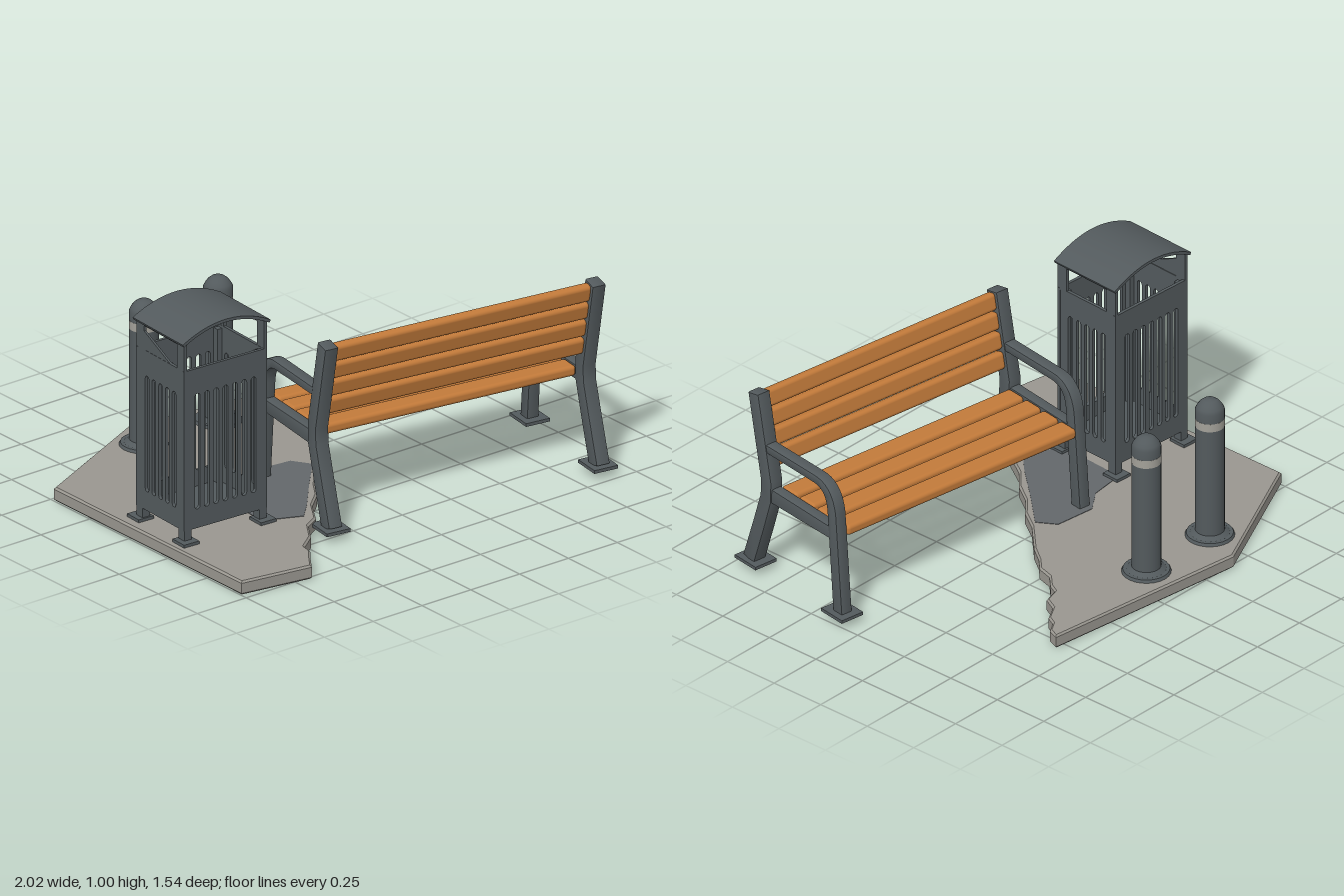
import * as THREE from 'three';
import { toCreasedNormals } from 'three/addons/utils/BufferGeometryUtils.js';
import { RoundedBoxGeometry } from 'three/addons/geometries/RoundedBoxGeometry.js';

const material = (name, color) => {
  const m = new THREE.MeshStandardMaterial({ color });
  m.name = name;
  return m;
};
const metal = material('dark grey metal', 0x535a5d);
const wood = material('orange wood', 0xc27a3a);
const stone = material('pale concrete', 0x99968f);
const stain = material('dark concrete', 0x63676a);
const bandGrey = material('light band', 0xa3a199);

const V = (x, y) => new THREE.Vector2(x, y);
const shapeOf = (pts) => new THREE.Shape(pts.map(([x, y]) => V(x, y)));

function add(parent, name, geo, mat, x = 0, y = 0, z = 0) {
  const mesh = new THREE.Mesh(geo, mat);
  mesh.name = name;
  mesh.position.set(x, y, z);
  parent.add(mesh);
  return mesh;
}

const box = (w, h, d) => new THREE.BoxGeometry(w, h, d);

// Extrudes a shape drawn in (z, y) along x, centred on x = 0
function sideExtrude(shape, width, bevel = 0.006) {
  const geo = new THREE.ExtrudeGeometry(shape, {
    depth: width - 2 * bevel, bevelEnabled: bevel > 0, bevelSize: bevel,
    bevelThickness: bevel, bevelOffset: -bevel, bevelSegments: 2,
  });
  geo.translate(0, 0, -width / 2 + bevel).rotateY(-Math.PI / 2);
  return toCreasedNormals(geo, 0.6);
}

// Closed outline of a bar following a path, its width changing from w0 to w1
function ribbon(points, w0, w1) {
  const left = [], right = [], n = points.length - 1;
  points.forEach((p, i) => {
    const a = points[Math.max(i - 1, 0)], b = points[Math.min(i + 1, n)];
    const t = b.clone().sub(a).normalize();
    const half = (w0 + (w1 - w0) * i / n) / 2;
    left.push(V(p.x - t.y * half, p.y + t.x * half));
    right.unshift(V(p.x + t.y * half, p.y - t.x * half));
  });
  return new THREE.Shape([...right, ...left]);
}

// Lays an outline in (x, z) flat as a plate of the given height
function plate(pts, height, bevel) {
  const geo = new THREE.ExtrudeGeometry(shapeOf(pts.map(([x, z]) => [x, -z])), {
    depth: height - 2 * bevel, bevelEnabled: bevel > 0, bevelSize: bevel,
    bevelThickness: bevel, bevelOffset: -bevel, bevelSegments: 1,
  });
  return geo.translate(0, 0, bevel).rotateX(-Math.PI / 2);
}

function createBench() {
  const bench = new THREE.Group();
  bench.name = 'bench';
  const post = ribbon([V(0.285, 0.04), V(0.222, 0.23), V(0.178, 0.37), V(0.175, 0.45), V(0.255, 0.826)], 0.068, 0.064);
  const arm = new THREE.Path();
  arm.moveTo(0.21, 0.6);
  arm.lineTo(-0.12, 0.6);
  arm.quadraticCurveTo(-0.215, 0.6, -0.23, 0.49);
  arm.lineTo(-0.268, 0.04);
  const armShape = ribbon(arm.getPoints(8), 0.036, 0.056);
  const rail = shapeOf([[0.19, 0.36], [0.19, 0.425], [-0.235, 0.42], [-0.24, 0.365]]);

  for (const side of [-1, 1]) {
    const frame = new THREE.Group();
    frame.name = side > 0 ? 'leftFrame' : 'rightFrame';
    frame.position.x = side * 0.62;
    add(frame, 'backPost', sideExtrude(post, 0.062), metal);
    add(frame, 'armrestLeg', sideExtrude(armShape, 0.054), metal);
    add(frame, 'seatRail', sideExtrude(rail, 0.05), metal);
    for (const z of [-0.265, 0.275]) {
      add(frame, 'footPlate', box(0.11, 0.014, 0.13), metal, 0, 0.038, z);
    }
    bench.add(frame);
  }
  // Seat slats
  for (let i = 0; i < 4; i++) {
    add(bench, 'seatSlat', new RoundedBoxGeometry(1.19, 0.046, 0.094, 3, 0.016), wood, 0, 0.402, -0.226 + i * 0.109);
  }
  // Back slats follow the lean of the posts
  for (const y of [0.537, 0.621, 0.704, 0.786]) {
    const slat = add(bench, 'backSlat', new RoundedBoxGeometry(1.19, 0.076, 0.044, 3, 0.016), wood, 0, y, 0.175 + (y - 0.45) * 0.213);
    slat.rotation.x = 0.21;
  }
  bench.position.set(0.3, 0, 0.3);
  bench.rotation.y = -0.145;
  return bench;
}

// Upright bin panel with a row of tall slots
function slottedPanel(width, slots, pitch) {
  const y0 = 0.115, y1 = 0.812, h = width / 2;
  const shape = shapeOf([[-h, y0], [h, y0], [h, y1], [-h, y1]]);
  for (let i = 0; i < slots; i++) {
    const x = (i - (slots - 1) / 2) * pitch, r = 0.0125;
    const hole = new THREE.Path();
    hole.moveTo(x - r, 0.21);
    hole.lineTo(x - r, 0.69);
    hole.absarc(x, 0.69, r, Math.PI, 0, true);
    hole.lineTo(x + r, 0.21);
    hole.absarc(x, 0.21, r, 0, -Math.PI, true);
    shape.holes.push(hole);
  }
  return new THREE.ExtrudeGeometry(shape, { depth: 0.014, bevelEnabled: false, curveSegments: 4 }).translate(0, 0, -0.007);
}

function createBin() {
  const bin = new THREE.Group();
  bin.name = 'litterBin';
  const W = 0.41, D = 0.33;
  for (const s of [-1, 1]) {
    add(bin, s > 0 ? 'frontPanel' : 'backPanel', slottedPanel(W, 7, 0.046), metal, 0, 0, s * (D / 2 - 0.009));
    add(bin, 'sidePanel', slottedPanel(D - 0.02, 5, 0.046), metal, s * (W / 2 - 0.009)).rotation.y = Math.PI / 2;
    for (const t of [-1, 1]) {
      add(bin, 'leg', box(0.036, 0.74, 0.04), metal, s * (W / 2 - 0.02), 0.43, t * (D / 2 - 0.022));
      add(bin, 'roofPost', box(0.014, 0.135, 0.05), metal, s * (W / 2 - 0.008), 0.872, t * (D / 2 - 0.027));
      add(bin, 'footPlate', box(0.075, 0.014, 0.08), metal, s * (W / 2 - 0.015), 0.066, t * (D / 2 - 0.01));
    }
    add(bin, 'roofRail', box(0.014, 0.02, D - 0.02), metal, s * (W / 2 - 0.008), 0.927, 0);
  }
  add(bin, 'floor', box(W - 0.02, 0.014, D - 0.02), metal, 0, 0.122, 0);
  // Sloped guard closing part of one side opening
  add(bin, 'sideGuard', sideExtrude(shapeOf([[0.07, 0.81], [-0.13, 0.9], [-0.13, 0.81]]), 0.01, 0), metal, -W / 2 + 0.008);
  // Arched roof
  const arch = new THREE.Path();
  arch.moveTo(-0.214, 0.93);
  arch.quadraticCurveTo(0, 1.047, 0.214, 0.93);
  const roof = new THREE.ExtrudeGeometry(ribbon(arch.getPoints(14), 0.013, 0.013), { depth: 0.342, bevelEnabled: false });
  add(bin, 'roof', toCreasedNormals(roof.translate(0, 0, -0.171), 0.5), metal);
  bin.position.set(-0.735, 0, 0.135);
  bin.rotation.y = -0.05;
  return bin;
}

function createBollard(x, z) {
  const bollard = new THREE.Group();
  bollard.name = 'bollard';
  const tube = (r0, r1, y0, y1) => new THREE.CylinderGeometry(r1, r0, y1 - y0, 24).translate(0, (y0 + y1) / 2, 0);
  add(bollard, 'baseFlange', tube(0.105, 0.095, 0.05, 0.072), metal);
  add(bollard, 'baseCollar', tube(0.08, 0.06, 0.072, 0.086), metal);
  add(bollard, 'shaft', tube(0.06, 0.06, 0.05, 0.57), metal);
  add(bollard, 'band', tube(0.0605, 0.0605, 0.57, 0.606), bandGrey);
  const cap = [V(0.06, 0.606), V(0.06, 0.645), V(0.053, 0.66), V(0.042, 0.675), V(0.027, 0.687), V(0, 0.69)];
  add(bollard, 'cap', new THREE.LatheGeometry(cap, 24), metal);
  bollard.position.set(x, 0, z);
  return bollard;
}

export function createModel() {
  const model = new THREE.Group();
  model.name = 'streetFurniture';
  // Broken pavement slab with a ragged edge
  const slab = [
    [-1, 0.72], [-0.68, 0.77], [-0.63, 0.7], [-0.59, 0.65], [-0.58, 0.6], [-0.5, 0.54], [-0.44, 0.45],
    [-0.37, 0.41], [-0.3, 0.3], [-0.22, 0.23], [-0.16, 0.14], [-0.08, 0.07], [-0.02, -0.02], [0.02, -0.06],
    [0.1, -0.14], [0.15, -0.21], [0.2, -0.26], [0.22, -0.33], [0.27, -0.38], [0.29, -0.42], [0.36, -0.44],
    [0.39, -0.5], [0.46, -0.54], [0.48, -0.58], [0.53, -0.61], [0.55, -0.66], [-0.39, -0.77], [-1, -0.48],
  ];
  add(model, 'pavementSlab', plate(slab, 0.06, 0.008), stone);
  const patch = [
    [-0.56, 0.3], [-0.4, 0.37], [-0.32, 0.29], [-0.18, 0.13], [-0.05, -0.01], [-0.1, -0.09],
    [-0.28, -0.11], [-0.38, -0.04], [-0.54, -0.02],
  ];
  add(model, 'darkPatch', plate(patch, 0.004, 0), stain, 0, 0.058, 0);
  model.add(createBench(), createBin(), createBollard(-0.45, -0.59), createBollard(-0.07, -0.59));
  return model;
}
